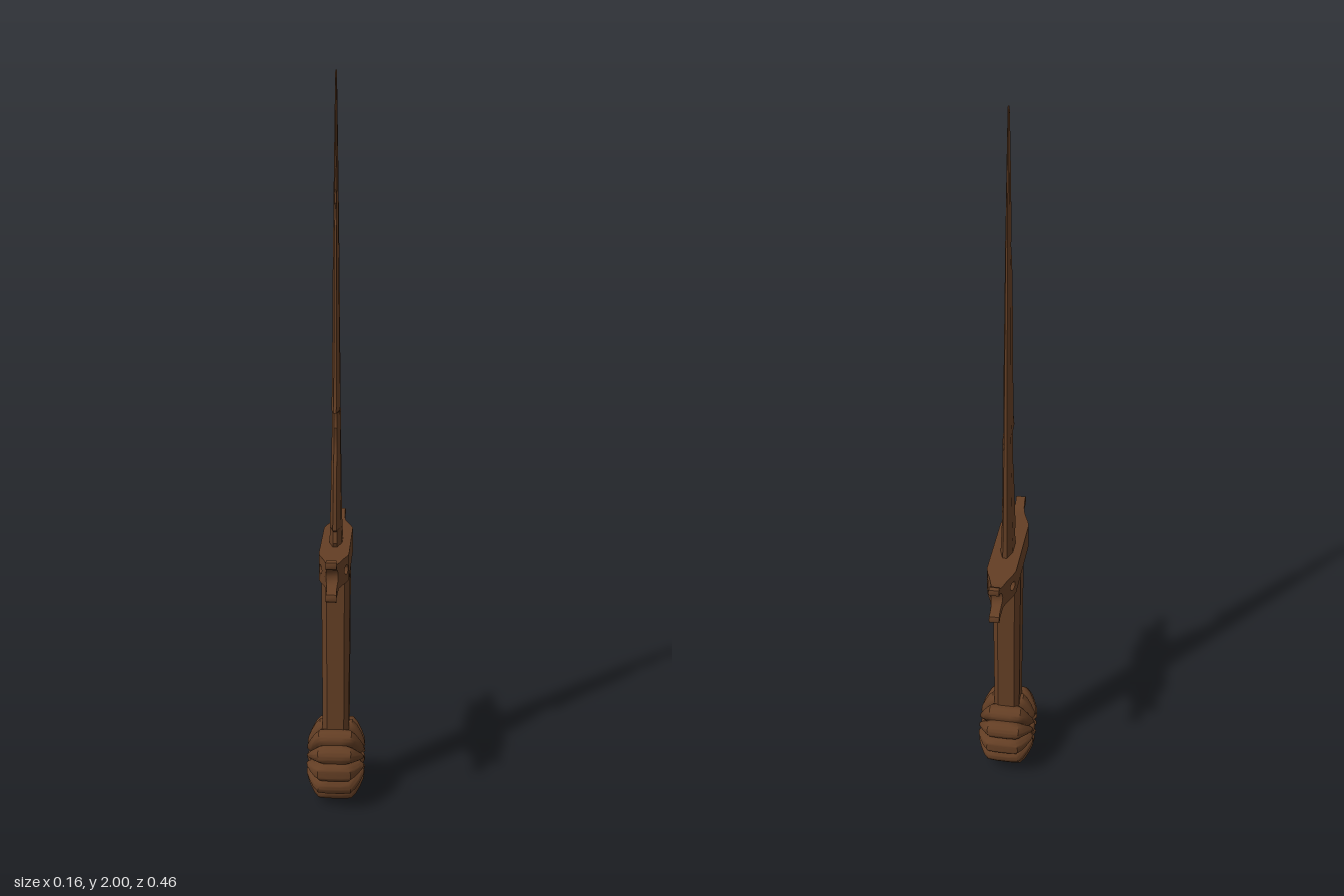
import * as THREE from 'three';
import { toCreasedNormals } from 'three/addons/utils/BufferGeometryUtils.js';

const bronze = new THREE.MeshStandardMaterial({ color: 0x633e24 });
bronze.name = 'aged bronze';

function part(name, geometry, parent) {
  const mesh = new THREE.Mesh(geometry, bronze);
  mesh.name = name;
  parent.add(mesh);
  return mesh;
}

// Skin a stack of horizontal [x, z] sections, given with their heights
function loft(sections, crease) {
  const n = sections[0].pts.length, pos = [], idx = [];
  sections.forEach(s => s.pts.forEach(([x, z]) => pos.push(x, s.y, z)));
  for (let i = 0; i < sections.length - 1; i++) {
    for (let j = 0; j < n; j++) {
      const a = i * n + j, b = i * n + (j + 1) % n;
      idx.push(a, b, b + n, a, b + n, a + n);
    }
  }
  const top = (sections.length - 1) * n;
  for (let j = 1; j < n - 1; j++) {
    idx.push(0, j + 1, j, top, top + j, top + j + 1);
  }
  const g = new THREE.BufferGeometry();
  g.setAttribute('position', new THREE.Float32BufferAttribute(pos, 3));
  g.setIndex(idx);
  return toCreasedNormals(g, crease);
}

// Eight-sided section: flats at half width t, edges at zf and zb with half width e
const octagon = (t, e, zf, flatF, flatB, zb) =>
  [[t, flatF], [t, flatB], [e, zb], [-e, zb], [-t, flatB], [-t, flatF], [-e, zf], [e, zf]];

const lerpTable = (table, v) => {
  let i = 0;
  while (i < table.length - 2 && v > table[i + 1][0]) i++;
  const [a, b] = [table[i], table[i + 1]];
  return THREE.MathUtils.mapLinear(THREE.MathUtils.clamp(v, a[0], b[0]), a[0], b[0], a[1], b[1]);
};

// Blade: a smooth back edge and a chipped front edge
function bladeGeometry() {
  const chipped = [[0.74, 0.045], [0.775, 0.06], [0.805, 0.05], [0.815, 0.072], [0.9, 0.065], [1.0, 0.05],
    [1.03, 0.036], [1.06, 0.034], [1.09, 0.042], [1.11, 0.034], [1.128, 0.036], [1.136, 0.07], [1.16, 0.056],
    [1.22, 0.052], [1.32, 0.044], [1.45, 0.046], [1.56, 0.042], [1.62, 0.036], [1.635, 0.024], [1.66, 0.02],
    [1.675, 0.034], [1.7, 0.031], [1.71, 0.036], [1.76, 0.032], [1.765, 0.027], [1.82, 0.029], [1.9, 0.024],
    [1.96, 0.018], [1.99, 0.012], [2.0, 0.008]];
  const back = [[0.74, -0.058], [1.1, -0.046], [1.6, -0.027], [1.85, -0.014], [1.95, -0.006], [2.0, 0.004]];
  const thick = [[0.74, 0.018], [0.85, 0.014], [1.1, 0.011], [1.5, 0.008], [1.8, 0.0045], [2.0, 0.002]];
  return loft(chipped.map(([y, zf]) => {
    const zb = lerpTable(back, y), t = lerpTable(thick, y), w = zf - zb;
    return { y, pts: octagon(t, t * 0.35, zf, zb + w * 0.68, zb + w * 0.28, zb) };
  }), 0.5);
}

// Guard pieces: side outline in [z, y], extruded across x, then narrowed toward the tips
const guardWidth = [[0, 0.04], [0.11, 0.04], [0.13, 0.035], [0.155, 0.025], [0.18, 0.017], [0.2, 0.013],
  [0.22, 0.013], [0.232, 0.014]];

function guardGeometry(points, hole) {
  const shape = new THREE.Shape(points.map(([z, y]) => new THREE.Vector2(z, y)));
  if (hole) shape.holes.push(new THREE.Path().absarc(hole[0], hole[1], 0.013, 0, Math.PI * 2, true));
  const g = new THREE.ExtrudeGeometry(shape, { depth: 1, bevelEnabled: false, curveSegments: 20 });
  g.translate(0, 0, -0.5).rotateY(-Math.PI / 2);
  const p = g.attributes.position;
  for (let i = 0; i < p.count; i++) {
    p.setX(i, p.getX(i) * 2 * lerpTable(guardWidth, Math.abs(p.getZ(i))));
  }
  return toCreasedNormals(g, 0.6);
}

function buildGuard() {
  const guard = new THREE.Group();
  guard.name = 'guard';
  const mid = 0.728, lo = 0.692, hi = 0.764;
  part('guardCentre', guardGeometry([[-0.11, lo], [0.11, lo], [0.11, hi], [-0.11, hi]]), guard);
  const arm = guardGeometry([[0.11, lo], [0.13, lo], [0.155, lo], [0.155, hi], [0.13, hi], [0.11, hi]], [0.13, mid]);

  // Forked tip: upper half mirrored to the lower half
  const upper = [[0.185, 0], [0.188, 0.012], [0.196, 0.021], [0.208, 0.027], [0.22, 0.03], [0.229, 0.035],
    [0.232, 0.044], [0.23, 0.053], [0.223, 0.058], [0.214, 0.054], [0.206, 0.044], [0.196, 0.038],
    [0.18, 0.035], [0.155, 0.036]];
  const outline = [...upper.map(([z, d]) => [z, mid + d]),
    ...upper.slice(1).reverse().map(([z, d]) => [z, mid - d])];
  const fork = guardGeometry(outline);
  for (const turn of [0, Math.PI]) {
    const side = new THREE.Group();
    side.name = turn ? 'backArm' : 'frontArm';
    side.rotation.y = turn;
    part('piercedArm', arm, side);
    part('forkedTip', fork, side);
    guard.add(side);
  }
  return guard;
}

// Pommel: a wheel turned about x, with rounded lobes around a central button
function pommelGeometry() {
  const half = [[0.116, 0.02], [0.114, 0.046], [0.1, 0.059], [0.08, 0.07], [0.058, 0.079], [0.042, 0.081],
    [0.032, 0.074], [0.025, 0.06], [0.021, 0.058], [0.019, 0.07], [0.014, 0.078], [0.007, 0.081], [0, 0.081]];
  const profile = [...half.map(([r, x]) => [r, -x]).reverse(), ...half];
  const g = new THREE.LatheGeometry(profile.map(([r, x]) => new THREE.Vector2(r, x)), 144);
  const p = g.attributes.position;
  for (let i = 0; i < p.count; i++) {
    const x = p.getX(i), y = p.getY(i), z = p.getZ(i);
    const r = Math.hypot(x, z);
    const depth = THREE.MathUtils.smoothstep(r, 0.02, 0.045);
    const groove = (1 - Math.pow(Math.abs(Math.cos(6 * Math.atan2(x, z))), 0.6)) * depth;
    const k = 1 - 0.15 * groove;
    p.setXYZ(i, x * k, y * (1 - 0.3 * groove), z * k);
  }
  g.rotateZ(-Math.PI / 2);
  return toCreasedNormals(g, 0.7);
}

export function createModel() {
  const dagger = new THREE.Group();
  dagger.name = 'dagger';

  part('blade', bladeGeometry(), dagger);
  dagger.add(buildGuard());

  // Grip: chamfered bar, slightly wider toward the guard
  const gripRow = (y, s) => ({ y, pts: octagon(0.038 * s, 0.024 * s, 0.042 * s, 0.026 * s, -0.026 * s, -0.042 * s) });
  part('grip', loft([gripRow(0.17, 0.96), gripRow(0.7, 1.03)], 0.4), dagger);

  const pommel = part('pommel', pommelGeometry(), dagger);
  pommel.position.y = 0.116;
  return dagger;
}
